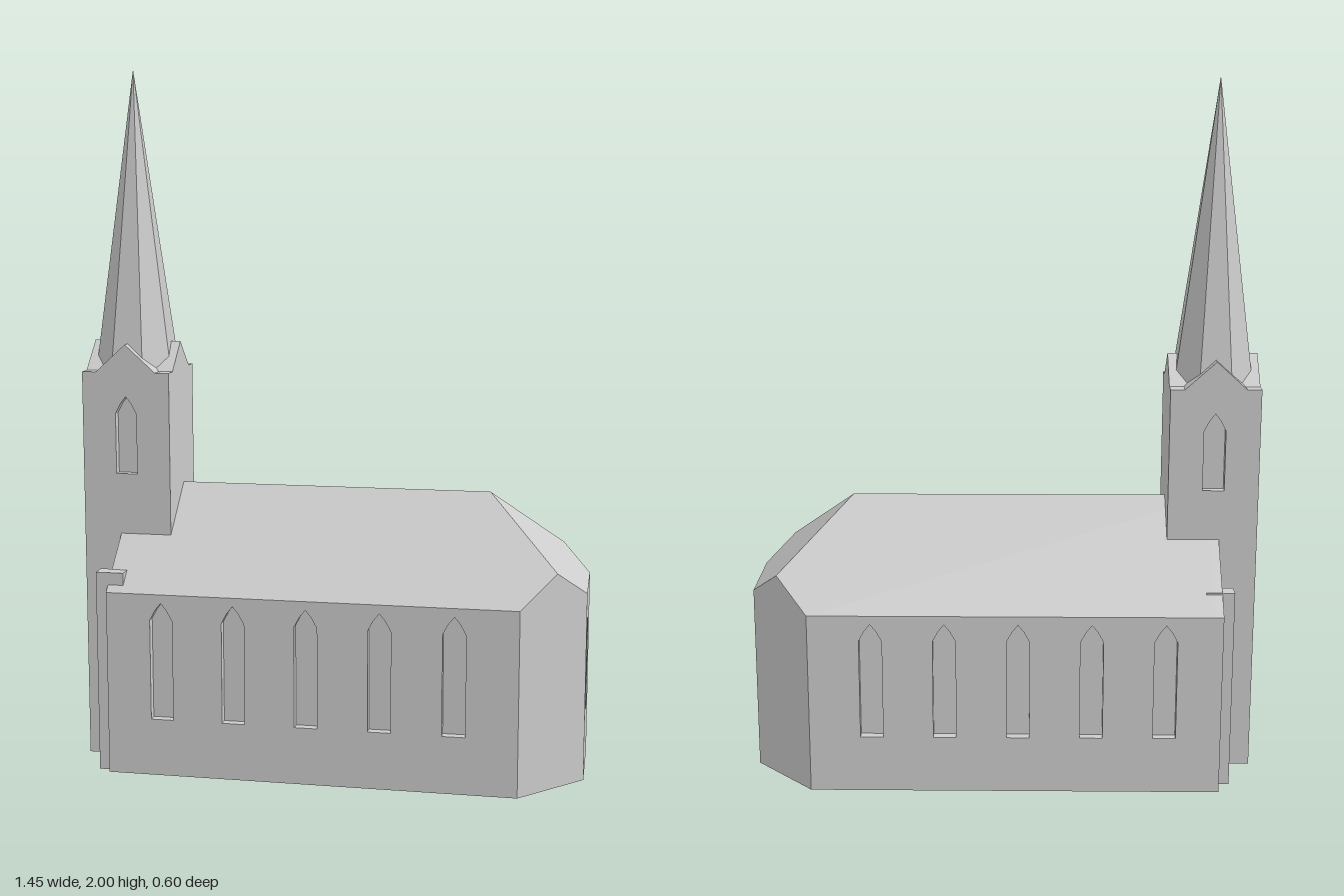
import * as THREE from 'three';

const stone = new THREE.MeshStandardMaterial({ color: 0xcccccc });
stone.name = 'pale grey stone';

const DEPTH = 0.025; // depth of the window recesses
const TX = -0.6, TZ = 0.017, TH = 0.129; // tower centre and half width

function add(parent, name, geometry, x = 0, y = 0, z = 0) {
  const mesh = new THREE.Mesh(geometry, stone);
  mesh.name = name;
  mesh.position.set(x, y, z);
  parent.add(mesh);
  return mesh;
}

const toPoints = (list) => list.map(([x, y]) => new THREE.Vector2(x, y));

// Outline of a window with a pointed head
function lancet(cx, y0, y1, w = 0.065) {
  const h = w / 2;
  return [[cx - h, y0], [cx + h, y0], [cx + h, y1 - 0.05], [cx + h * 0.5, y1 - 0.02],
    [cx, y1], [cx - h * 0.5, y1 - 0.02], [cx - h, y1 - 0.05]];
}

function roundel(cx, cy, r) {
  return Array.from({ length: 12 }, (_, i) => {
    const a = (i / 12) * Math.PI * 2;
    return [cx + r * Math.cos(a), cy + r * Math.sin(a)];
  });
}

// Wall standing on the line a-b (left to right from outside), with recessed openings
function wall(parent, name, a, b, top, openings = []) {
  const dx = b[0] - a[0], dz = b[1] - a[1], len = Math.hypot(dx, dz);
  const group = new THREE.Group();
  group.name = name;
  group.position.set(a[0], 0, a[1]);
  group.rotation.y = -Math.atan2(dz, dx);
  parent.add(group);

  const outline = [[0, 0], [len, 0], ...top.map(([t, y]) => [t * len, y])];
  const shape = new THREE.Shape(toPoints(outline));
  for (const o of openings) {
    shape.holes.push(new THREE.Path(toPoints(o)));
    add(group, 'windowPane', new THREE.ShapeGeometry(new THREE.Shape(toPoints(o))), 0, 0, -DEPTH);
  }
  const geometry = new THREE.ExtrudeGeometry(shape, { depth: DEPTH, bevelEnabled: false });
  add(group, 'wallStone', geometry, 0, 0, -DEPTH);
}

// Flat faces from convex corner loops
function facets(loops) {
  const pos = [];
  for (const l of loops) {
    for (let i = 1; i < l.length - 1; i++) pos.push(...l[0], ...l[i], ...l[i + 1]);
  }
  const g = new THREE.BufferGeometry();
  g.setAttribute('position', new THREE.Float32BufferAttribute(pos, 3));
  g.computeVertexNormals();
  return g;
}

function buildNave() {
  const nave = new THREE.Group();
  nave.name = 'nave';
  const roofY = (x, z) => 0.8 - 0.9 * Math.max(Math.abs(z), x - 0.44);
  const plan = [[-0.62, 0.3], [0.55, 0.3], [0.725, 0.125], [0.725, -0.125], [0.55, -0.3], [-0.62, -0.3]];
  const names = ['frontWall', 'frontApseWall', 'endApseWall', 'backApseWall', 'backWall', 'gableWall'];
  const peaks = { 1: [0.543, 0.6155], 3: [0.457, 0.6155], 5: [0.5, 0.8] };
  const centres = [0, 1, 2, 3, 4].map((i) => -0.46 + i * 0.208);
  const windows = {
    0: centres.map((x) => lancet(x + 0.62, 0.165, 0.505)),
    2: [lancet(0.125 - TZ, 0.175, 0.465)],
    4: centres.map((x) => lancet(0.55 - x, 0.165, 0.505)),
  };
  plan.forEach((a, i) => {
    const b = plan[(i + 1) % plan.length];
    const top = [[1, roofY(...b)], ...(peaks[i] ? [peaks[i]] : []), [0, roofY(...a)]];
    wall(nave, names[i], a, b, top, windows[i]);
  });

  // Two long slopes and a hip over the apse
  const p = (x, z) => [x, roofY(x, z), z];
  add(nave, 'roof', facets([
    [p(-0.62, 0.3), p(0.55, 0.3), p(0.645, 0.205), p(0.44, 0), p(-0.62, 0)],
    [p(-0.62, 0), p(0.44, 0), p(0.645, -0.205), p(0.55, -0.3), p(-0.62, -0.3)],
    [p(0.645, 0.205), p(0.725, 0.125), p(0.725, -0.125), p(0.645, -0.205), p(0.44, 0)],
  ]));

  const floor = new THREE.ShapeGeometry(new THREE.Shape(toPoints(plan)));
  floor.rotateX(Math.PI / 2);
  add(nave, 'floor', floor);

  // Buttresses on the gable wall, each with a cap reaching over the roof
  for (const s of [-1, 1]) {
    const z = TZ + s * 0.241;
    add(nave, 'buttress', new THREE.BoxGeometry(0.045, 0.56, 0.045), -0.6325, 0.28, z);
    add(nave, 'buttressCap', new THREE.BoxGeometry(0.08, 0.038, 0.045), -0.615, 0.564, z);
  }
  return nave;
}

function buildTower() {
  const tower = new THREE.Group();
  tower.name = 'tower';
  tower.position.set(TX, 0, TZ);
  const eaves = 1.14;
  const plan = [[-TH, TH], [TH, TH], [TH, -TH], [-TH, -TH]];
  const names = ['towerFrontWall', 'towerInnerWall', 'towerBackWall', 'towerEntranceWall'];
  const belfry = lancet(TH, 0.845, 1.07, 0.062);
  const openings = [[belfry], [], [belfry],
    [belfry, roundel(TH, 0.73, 0.022), lancet(TH, 0.03, 0.23)]];
  plan.forEach((a, i) => {
    wall(tower, names[i], a, plan[(i + 1) % 4], [[1, eaves], [0, eaves]], openings[i]);
  });
  add(tower, 'towerTop', new THREE.BoxGeometry(TH * 2, 0.02, TH * 2), 0, eaves - 0.01, 0);
  add(tower, 'towerFloor', new THREE.BoxGeometry(TH * 2, 0.01, TH * 2), 0, 0.005, 0);

  // Crossing gable roofs
  const gable = new THREE.Shape(toPoints([[-0.088, 0], [0.088, 0], [0, 0.08]]));
  for (const angle of [0, Math.PI / 2]) {
    const g = new THREE.ExtrudeGeometry(gable, { depth: TH * 2, bevelEnabled: false });
    g.translate(0, 0, -TH);
    g.rotateY(angle);
    add(tower, 'towerGable', g, 0, eaves, 0);
  }

  // Eight-sided spire with flats towards the walls
  const height = 2 - eaves;
  const spire = new THREE.ConeGeometry(0.112 / Math.cos(Math.PI / 8), height, 8, 1, true).toNonIndexed();
  spire.rotateY(Math.PI / 8);
  spire.computeVertexNormals();
  add(tower, 'spire', spire, 0, eaves + height / 2, 0);
  return tower;
}

export function createModel() {
  const church = new THREE.Group();
  church.name = 'church';
  church.add(buildNave(), buildTower());
  return church;
}
